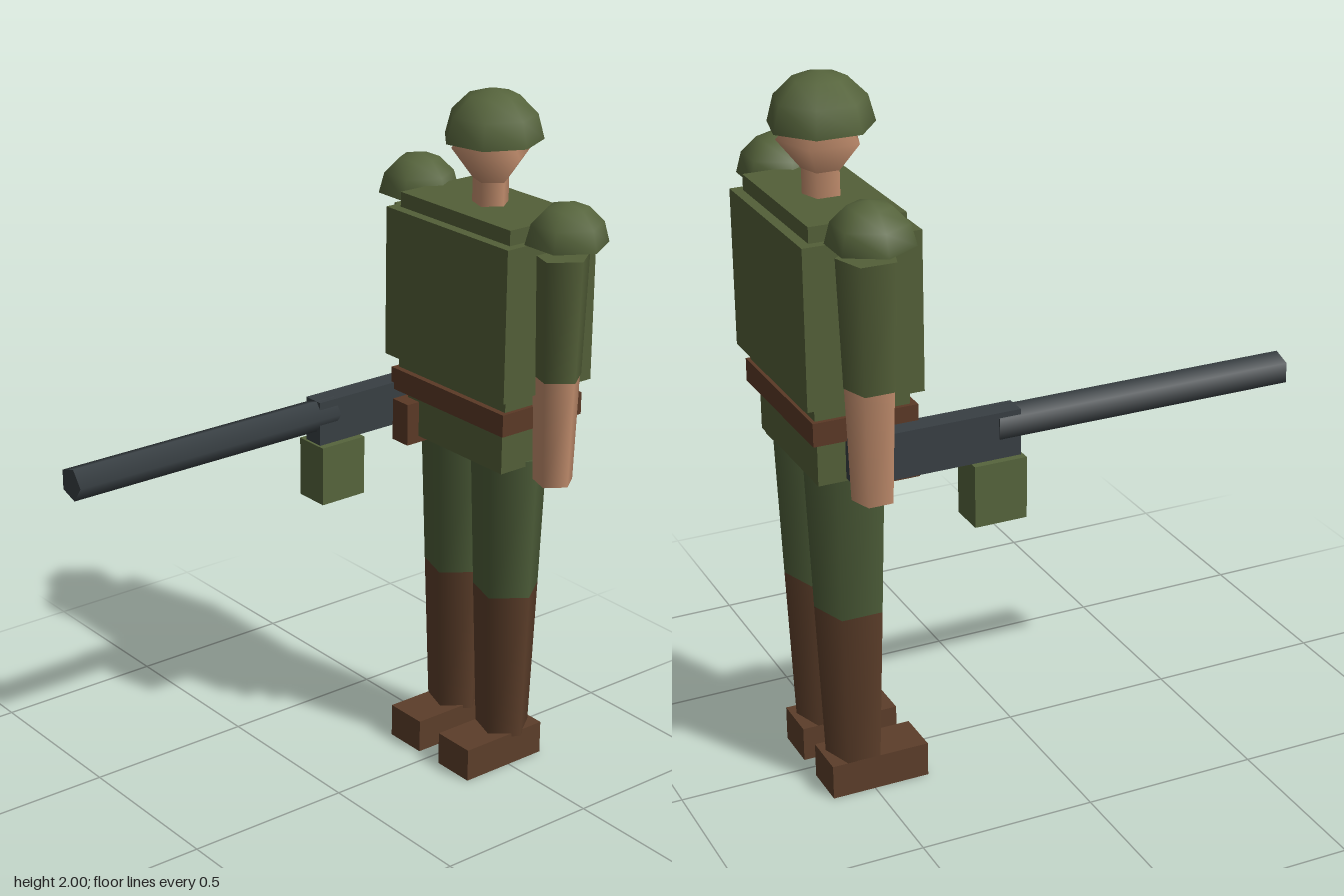
import * as THREE from 'three';

const mat = (name, color) => {
  const m = new THREE.MeshStandardMaterial({ color });
  m.name = name;
  return m;
};

export function createModel() {
  const root = new THREE.Group();
  root.name = 'soldier';
  const cloth = mat('olive cloth', 0x535f38);
  const trousers = mat('trouser green', 0x4c5c38);
  const armour = mat('helmet green', 0x56643c);
  const skin = mat('skin', 0xc08c6c);
  const boot = mat('boot brown', 0x5c3e2a);
  const leather = mat('belt leather', 0x5b3926);
  const metal = mat('gun metal', 0x383f43);
  const BODY_Z = -0.53;

  const add = (name, geometry, material, x, y, z) => {
    const m = new THREE.Mesh(geometry, material);
    m.name = name;
    m.position.set(x, y, z);
    root.add(m);
    return m;
  };
  // box given by its extents on each axis
  const box = (name, material, [x0, x1], [y0, y1], [z0, z1]) =>
    add(name, new THREE.BoxGeometry(x1 - x0, y1 - y0, z1 - z0), material,
      (x0 + x1) / 2, (y0 + y1) / 2, (z0 + z1) / 2);
  // upright tapered limb with a corner towards +x
  const limb = (name, material, x, z, y0, y1, r0, r1, sides = 5) =>
    add(name, new THREE.CylinderGeometry(r1, r0, y1 - y0, sides, 1, false, Math.PI / 2),
      material, x, (y0 + y1) / 2, z);
  // half sphere closed underneath
  const dome = (name, x, y, r, sides) => {
    add(name, new THREE.SphereGeometry(r, sides, 3, Math.PI, Math.PI * 2, 0, Math.PI / 2),
      armour, x, y, BODY_Z);
    add(name + 'Underside', new THREE.CircleGeometry(r, sides).rotateX(Math.PI / 2),
      armour, x, y, BODY_Z);
  };

  // head
  dome('helmet', 0, 1.86, 0.142, 7);
  add('head', new THREE.SphereGeometry(0.115, 5, 2, Math.PI).scale(1, 1.25, 1),
    skin, 0, 1.825, BODY_Z);
  limb('neck', skin, 0, BODY_Z, 1.66, 1.75, 0.053, 0.053);

  // trunk
  box('torso', cloth, [-0.23, 0.23], [1.12, 1.68], [-0.662, -0.398]);
  box('vest', cloth, [-0.256, 0.256], [1.2, 1.637], [-0.69, -0.368]);
  box('belt', leather, [-0.242, 0.242], [1.095, 1.16], [-0.672, -0.38]);
  box('hips', cloth, [-0.205, 0.205], [0.965, 1.12], [-0.648, -0.412]);
  box('pouch', leather, [-0.222, -0.155], [0.945, 1.07], [-0.45, -0.37]);
  limb('canteen', cloth, 0.185, -0.592, 0.945, 1.09, 0.05, 0.05, 6);

  // arms and legs, both sides
  for (const s of [-1, 1]) {
    dome('shoulderPad', s * 0.31, 1.64, 0.116, 6);
    limb('upperArm', cloth, s * 0.293, BODY_Z, 1.255, 1.603, 0.071, 0.083);
    limb('forearm', skin, s * 0.291, BODY_Z, 0.943, 1.255, 0.058, 0.069);
    limb('thigh', trousers, s * 0.11, BODY_Z, 0.55, 0.98, 0.099, 0.115);
    limb('boot', boot, s * 0.11, BODY_Z, 0.09, 0.55, 0.081, 0.099);
    box('shoe', boot, [s * 0.11 - 0.066, s * 0.11 + 0.066], [0, 0.1], [-0.623, -0.34]);
  }

  // long gun held at the right side
  add('barrel', new THREE.CylinderGeometry(0.048, 0.048, 0.87, 5, 1, false, Math.PI / 2)
    .rotateX(Math.PI / 2), metal, -0.261, 1.07, 0.26);
  box('receiver', metal, [-0.294, -0.23], [0.985, 1.115], [-0.58, -0.112]);
  box('magazine', armour, [-0.315, -0.209], [0.81, 0.985], [-0.255, -0.105]);
  return root;
}
